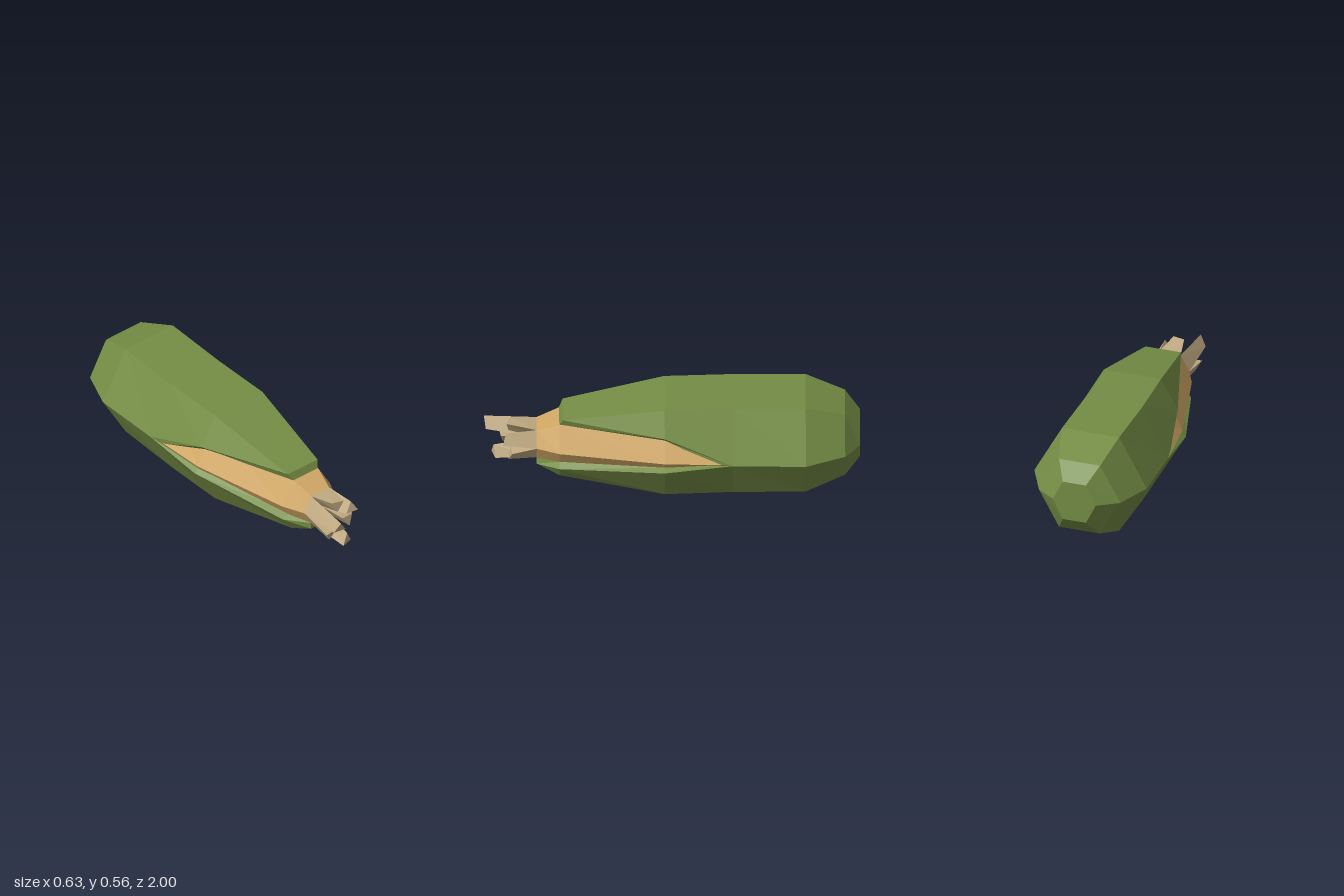
import * as THREE from 'three';

// Six-sided section, counter-clockwise seen from +z, starting at the +x corner
function hex(z, cx, cy, rx, ry, tw) {
  const corners = [[rx, 0], [tw, ry], [-tw, ry], [-rx, 0], [-tw, -ry], [tw, -ry]];
  return corners.map(([x, y]) => [cx + x, cy + y + x * 0.025, z]);
}

// Flat-faced skin through sections ordered from back to front
function loft(sections, { closed = true, capBack = false, capFront = false } = {}) {
  const positions = [];
  const same = (p, q) => p.every((v, i) => v === q[i]);
  const tri = (a, b, c) => {
    if (!same(a, b) && !same(b, c) && !same(a, c)) positions.push(...a, ...b, ...c);
  };
  for (let s = 0; s < sections.length - 1; s++) {
    const a = sections[s], b = sections[s + 1], n = a.length;
    for (let i = 0; i < (closed ? n : n - 1); i++) {
      const j = (i + 1) % n;
      tri(a[i], a[j], b[j]);
      tri(a[i], b[j], b[i]);
    }
  }
  const back = sections[0], front = sections[sections.length - 1];
  for (let i = 1; i < back.length - 1; i++) {
    if (capBack) tri(back[0], back[i + 1], back[i]);
    if (capFront) tri(front[0], front[i], front[i + 1]);
  }
  const geometry = new THREE.BufferGeometry();
  geometry.setAttribute('position', new THREE.Float32BufferAttribute(positions, 3));
  geometry.computeVertexNormals();
  return geometry;
}

export function createModel() {
  const model = new THREE.Group();
  model.name = 'cornCob';
  const material = (name, color) => {
    const m = new THREE.MeshStandardMaterial({ color, flatShading: true });
    m.name = name;
    return m;
  };
  const green = material('huskGreen', 0x758d45);
  green.side = THREE.DoubleSide;
  const yellow = material('kernelTan', 0xd0a765);
  const beige = material('silkBeige', 0xc0aa82);
  const add = (name, geometry, mat, parent = model) => {
    const mesh = new THREE.Mesh(geometry, mat);
    mesh.name = name;
    parent.add(mesh);
  };

  // Closed rear of the husk
  const split = hex(-0.32, 0, 0.283, 0.305, 0.276, 0.16);
  const mid = hex(0.04, 0.014, 0.282, 0.3, 0.277, 0.16);
  add('huskBody', loft([
    hex(-1, -0.005, 0.28, 0.12, 0.11, 0.065),
    hex(-0.92, -0.008, 0.28, 0.228, 0.2, 0.115),
    hex(-0.71, 0, 0.283, 0.315, 0.275, 0.16),
    split,
  ], { capBack: true }), green);

  // Upper husk leaf and its thick rim
  const open = { closed: false };
  const [right, topR, topL, left, botL, botR] = split;
  const upR = [0.25, 0.43, 0.04], upL = [-0.24, 0.39, 0.04];
  const tipR = [0.12, 0.462, 0.58], tipL = [-0.08, 0.458, 0.58];
  add('upperLeaf', loft([
    [right, topR, topL, left],
    [upR, mid[1], mid[2], upL],
    [tipR, tipR, tipL, tipL],
  ], open), green);
  add('upperLeafRim', loft([
    [right, upR, tipR, tipL, upL, left],
    [[0.285, 0.292, -0.22], [0.22, 0.4, 0.04], [0.105, 0.423, 0.6],
      [-0.06, 0.42, 0.6], [-0.21, 0.36, 0.04], [-0.285, 0.277, -0.22]],
  ], open), green);

  // Lower husk leaf and its thick rim
  const lowL = [-0.285, 0.235, 0.04], lowR = [0.313, 0.25, 0.04];
  const foreL = [-0.13, 0.19, 0.6], foreR = [0.19, 0.19, 0.6];
  const endL = [-0.035, 0.155, 0.72], endR = [0.1, 0.16, 0.72];
  add('lowerLeaf', loft([
    [left, botL, botR, right],
    [lowL, mid[4], mid[5], lowR],
    [foreL, [-0.07, 0.105, 0.6], [0.135, 0.11, 0.6], foreR],
    [endL, endL, endR, endR],
  ], open), green);
  add('lowerLeafRim', loft([
    [left, lowL, foreL, endL, endR, foreR, lowR, right],
    [[-0.285, 0.27, -0.22], [-0.26, 0.256, 0.04], [-0.085, 0.215, 0.6], [-0.035, 0.193, 0.72],
      [0.09, 0.193, 0.72], [0.155, 0.213, 0.6], [0.28, 0.264, 0.04], [0.285, 0.282, -0.22]],
  ], open), green);

  // Inner cob, buried in the husk at the rear
  const nose = hex(0.72, 0.028, 0.283, 0.108, 0.09, 0.06);
  add('cob', loft([
    hex(-0.34, 0, 0.283, 0.296, 0.22, 0.15),
    hex(0.04, 0.008, 0.282, 0.276, 0.21, 0.15),
    hex(0.6, 0.026, 0.283, 0.16, 0.137, 0.082),
    nose,
  ], { capBack: true, capFront: true }), yellow);

  // Six wedge-shaped silk strands fanning out of the nose
  const silk = new THREE.Group();
  silk.name = 'silk';
  model.add(silk);
  const cx = 0.028, cy = 0.283;
  const lengths = [0.9, 0.88, 1, 0.92, 0.96, 0.87];
  lengths.forEach((z, i) => {
    const angle = THREE.MathUtils.degToRad(30 + i * 60);
    const dx = Math.cos(angle), dy = Math.sin(angle);
    const at = (r, side, depth) => [cx + dx * r - dy * side, cy + dy * r + dx * side, depth];
    add('silkStrand', loft([
      [[cx, cy, 0.72], nose[i], nose[(i + 1) % 6]],
      [at(0.048, 0, z - 0.01), at(0.112, -0.033, z), at(0.112, 0.033, z - 0.02)],
    ], { capFront: true }), beige, silk);
  });

  return model;
}
